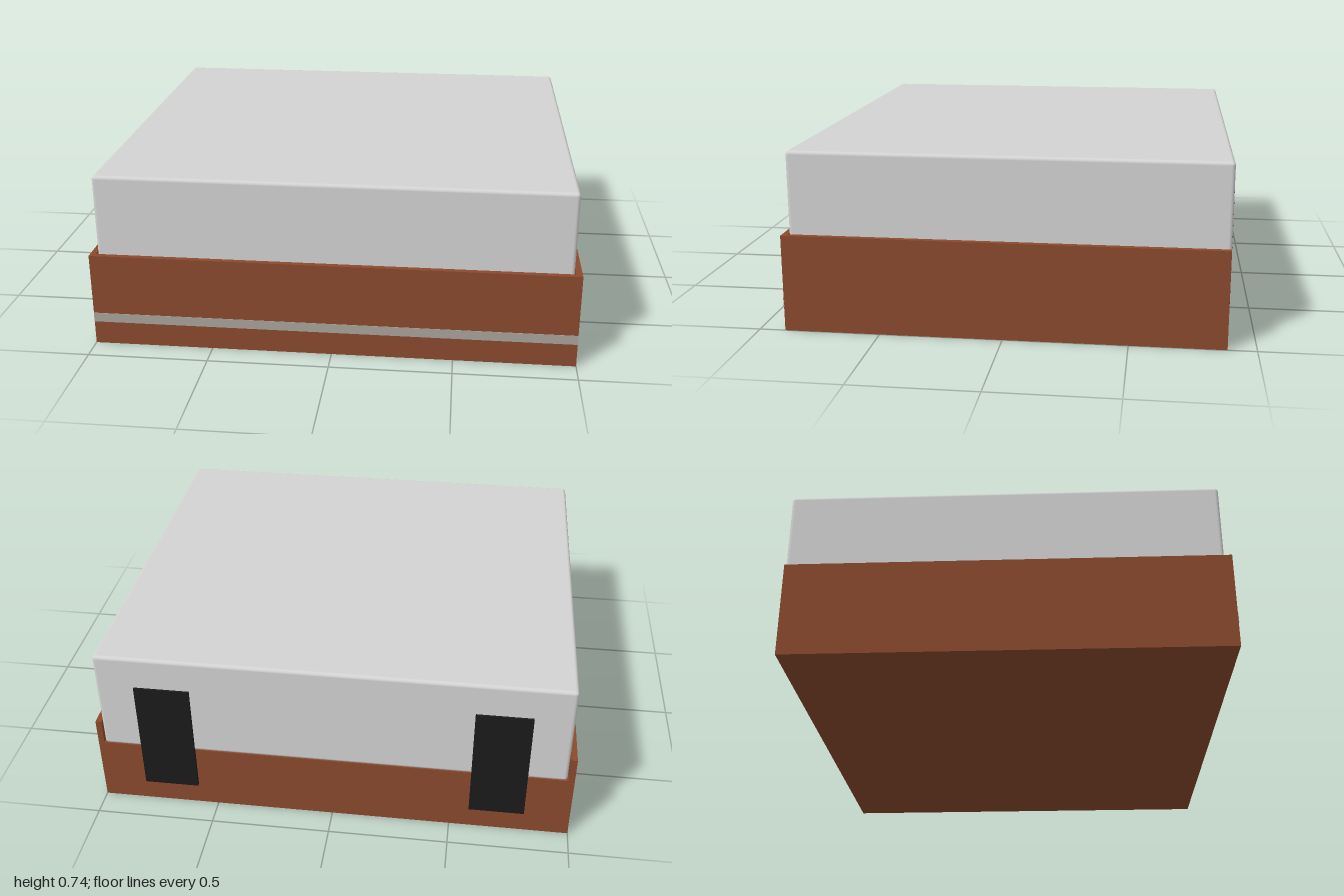
import * as THREE from 'three';
import { RoundedBoxGeometry } from 'three/addons/geometries/RoundedBoxGeometry.js';

const material = (name, color) => {
  const m = new THREE.MeshStandardMaterial({ color });
  m.name = name;
  return m;
};

export function createModel() {
  const model = new THREE.Group();
  const brown = material('brown wood', 0x8b4a2d);
  const white = material('pale grey lid', 0xd3d3d3);
  const silver = material('silver trim', 0xaaa39c);
  const black = material('black hinge', 0x1a1a1a);

  // Places a geometry spanning the given minimum and maximum corners
  const add = (name, mat, min, max, radius = 0) => {
    const size = max.map((v, i) => v - min[i]);
    const geometry = radius
      ? new RoundedBoxGeometry(...size, 3, radius)
      : new THREE.BoxGeometry(...size);
    const mesh = new THREE.Mesh(geometry, mat);
    mesh.name = name;
    mesh.position.set(...max.map((v, i) => (v + min[i]) / 2));
    model.add(mesh);
  };

  // Tray: outline with raised side walls, open at the back
  const profile = new THREE.Shape([
    [-1, 0], [1, 0], [1, 0.4], [0.975, 0.4], [0.975, 0.29],
    [-0.975, 0.29], [-0.975, 0.4], [-1, 0.4],
  ].map(([x, y]) => new THREE.Vector2(x, y)));
  const tray = new THREE.Mesh(
    new THREE.ExtrudeGeometry(profile, { depth: 1.755, bevelEnabled: false }), brown);
  tray.name = 'tray';
  tray.position.z = -0.885;
  model.add(tray);
  add('trayFront', brown, [-1, 0, 0.87], [1, 0.4, 0.893]);

  // Lid resting inside the tray
  add('lid', white, [-0.97, 0.29, -0.888], [0.97, 0.74, 0.868], 0.015);

  // Trim stripe across the front
  add('frontStripe', silver, [-1, 0.1, 0.89], [1, 0.14, 0.895]);

  // Pair of hinge plates on the back
  for (const side of [-1, 1]) {
    const x = side * 0.695;
    add(side > 0 ? 'leftHinge' : 'rightHinge', black,
      [x - 0.115, 0.1, -0.898], [x + 0.115, 0.6, -0.885]);
  }
  return model;
}
